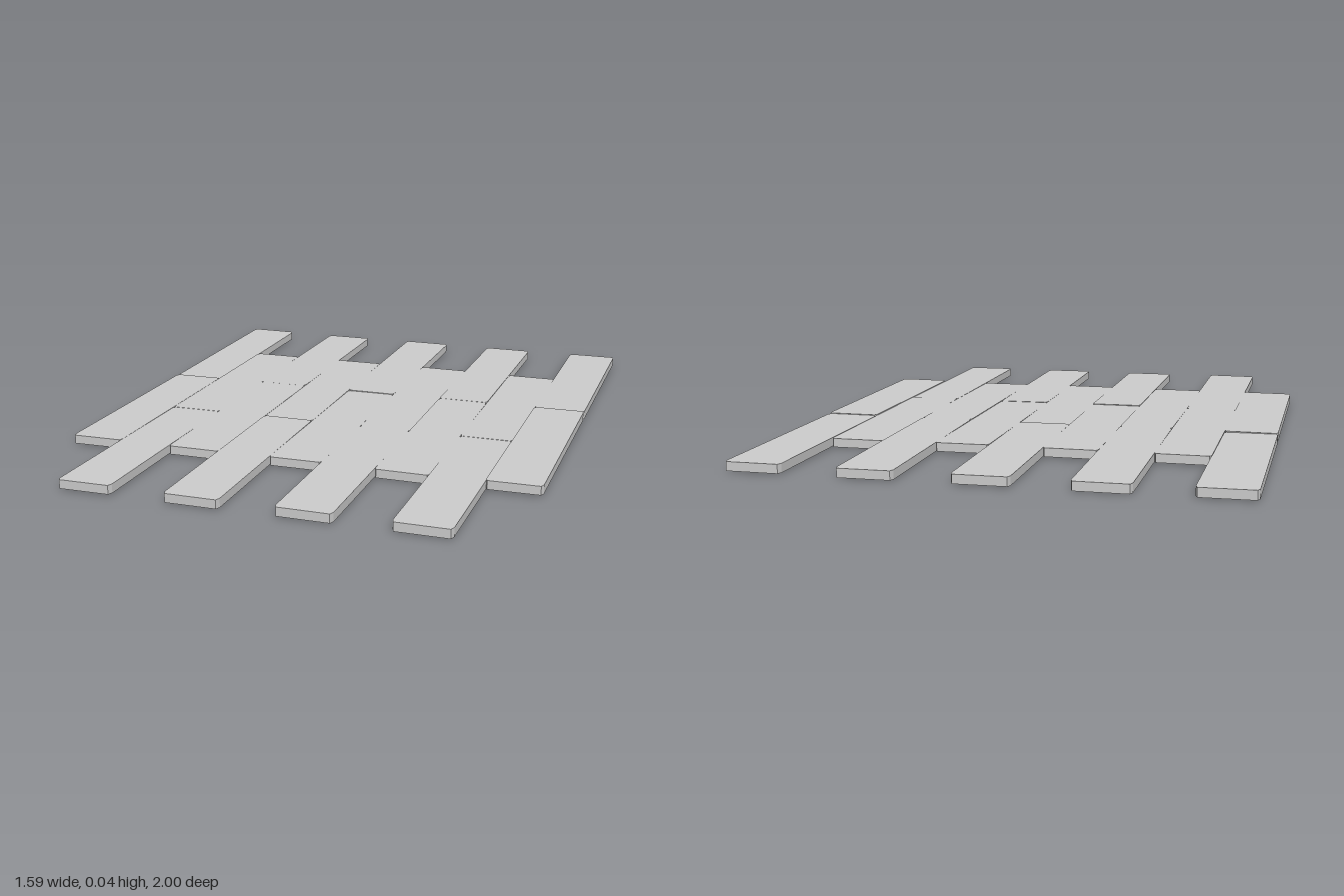
import * as THREE from 'three';

const PITCH = 0.177, LENGTH = 0.8, WIDTH = 0.178, THICK = 0.029;

// Plank outline with narrow clipped corners, extruded to its thickness and centred
function plankGeometry() {
  const w = WIDTH / 2, l = LENGTH / 2, cx = 0.006, cz = 0.016;
  const outline = [
    [-w + cx, -l], [w - cx, -l], [w, -l + cz], [w, l - cz],
    [w - cx, l], [-w + cx, l], [-w, l - cz], [-w, -l + cz],
  ].map(([x, y]) => new THREE.Vector2(x, y));
  const geo = new THREE.ExtrudeGeometry(new THREE.Shape(outline), { depth: THICK, bevelEnabled: false });
  geo.translate(0, 0, -THICK / 2);
  geo.rotateX(-Math.PI / 2);
  return geo;
}

export function createModel() {
  const model = new THREE.Group();
  model.name = 'plankFloor';
  const material = new THREE.MeshStandardMaterial({ color: 0xcccccc, flatShading: true });
  const geometry = plankGeometry();

  // Small seeded variation so the boards lie slightly unevenly
  let seed = 7;
  const vary = (amount) => {
    seed = (seed * 16807) % 2147483647;
    return (seed / 2147483647 - 0.5) * 2 * amount;
  };

  // Nine columns of two boards; every other column is shifted by half a board
  for (let column = 0; column < 9; column++) {
    const shift = column % 2 ? 0.2 : -0.2;
    for (const [row, side] of [['back', -1], ['front', 1]]) {
      const plank = new THREE.Mesh(geometry, material);
      plank.name = `${row}Plank${column + 1}`;
      const raised = column === 8 && row === 'front' ? 0.003 : 0;
      plank.position.set((column - 4) * PITCH, 0.0205 + raised + vary(0.001), shift + side * LENGTH / 2);
      plank.rotation.set(vary(0.005), vary(0.001), vary(0.008));
      model.add(plank);
    }
  }
  return model;
}
